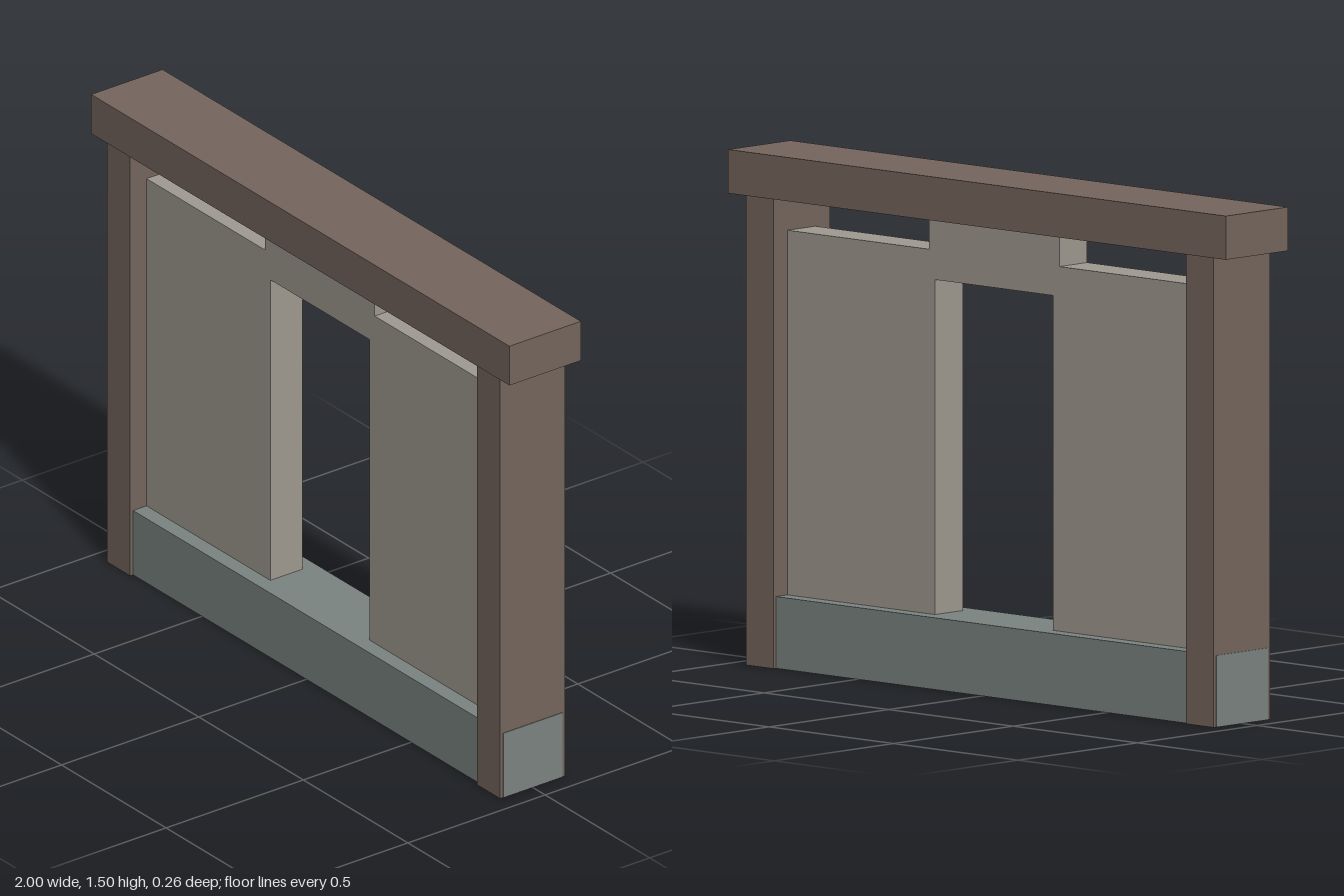
import * as THREE from 'three';

const timber = new THREE.MeshStandardMaterial({ color: 0x75665d });
const plaster = new THREE.MeshStandardMaterial({ color: 0xa09b91 });
const stone = new THREE.MeshStandardMaterial({ color: 0x7b8481 });

export function createModel() {
  const group = new THREE.Group();

  // Box placed by its centre x, its bottom and its top
  const box = (name, material, width, depth, bottom, top, x = 0) => {
    const mesh = new THREE.Mesh(new THREE.BoxGeometry(width, top - bottom, depth), material);
    mesh.position.set(x, (bottom + top) / 2, 0);
    mesh.name = name;
    group.add(mesh);
  };

  // Stone sill, running through both posts to their outer faces
  box('stoneBase', stone, 1.882, 0.215, 0, 0.21);

  // Corner posts and top beam
  box('leftPost', timber, 0.11, 0.236, 0, 1.376, 0.884);
  box('rightPost', timber, 0.11, 0.236, 0, 1.376, -0.884);
  box('topBeam', timber, 2, 0.26, 1.376, 1.504);

  // Wall with a doorway, raised over the door to meet the beam
  const half = [
    [0.237, 0.21], [0.83, 0.21], [0.83, 1.277],
    [0.262, 1.277], [0.262, 1.376],
  ];
  const doorTop = 1.19;
  const outline = [
    [0.237, doorTop],
    ...half,
    ...half.map(([x, y]) => [-x, y]).reverse(),
    [-0.237, doorTop],
  ].map(([x, y]) => new THREE.Vector2(x, y));
  const thickness = 0.117;
  const wallGeometry = new THREE.ExtrudeGeometry(new THREE.Shape(outline), {
    depth: thickness, bevelEnabled: false,
  });
  wallGeometry.translate(0, 0, -thickness / 2);
  const wall = new THREE.Mesh(wallGeometry, plaster);
  wall.name = 'doorwayWall';
  group.add(wall);

  return group;
}
